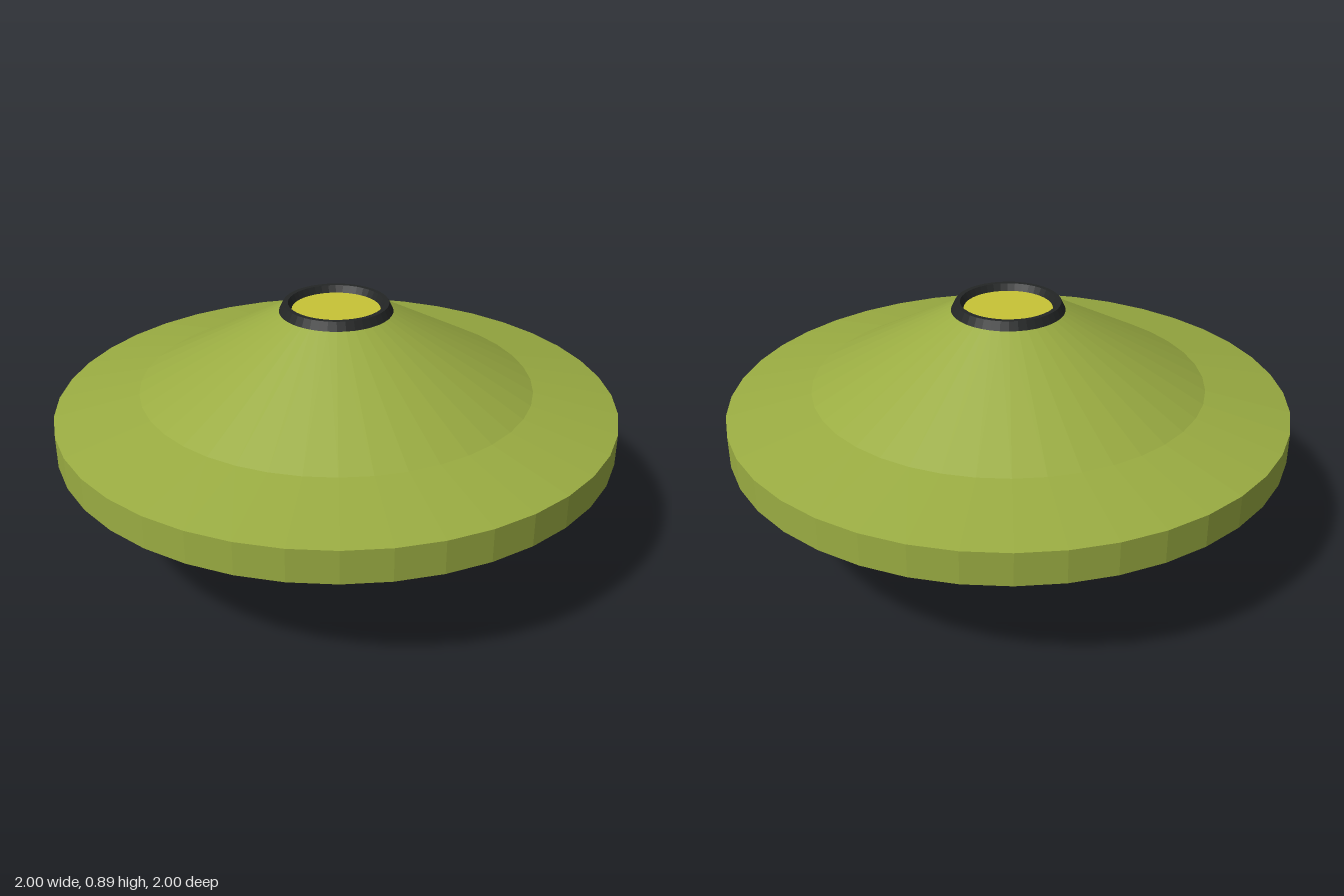
import * as THREE from 'three';

const SIDES = 40;

export function createModel() {
  const group = new THREE.Group();

  // Revolve a [radius, height] profile (listed bottom to top on the outside)
  function turned(name, profile, color) {
    const points = profile.map(([r, y]) => new THREE.Vector2(r, y));
    const material = new THREE.MeshStandardMaterial({
      color, flatShading: true, side: THREE.DoubleSide,
    });
    const mesh = new THREE.Mesh(new THREE.LatheGeometry(points, SIDES), material);
    mesh.name = name;
    group.add(mesh);
  }

  // Closed disc or truncated cone
  function disc(name, bottomRadius, topRadius, y0, y1, color) {
    const geometry = new THREE.CylinderGeometry(topRadius, bottomRadius, y1 - y0, SIDES);
    const mesh = new THREE.Mesh(geometry, new THREE.MeshStandardMaterial({ color, flatShading: true }));
    mesh.position.y = (y0 + y1) / 2;
    mesh.name = name;
    group.add(mesh);
  }

  const green = 0x9aac42, yellow = 0xc8c436, slate = 0x465257;
  const grey = 0x696468, dark = 0x4a474a, black = 0x242626;

  // Saucer hull: rim band, shallow brim and steep dome
  turned('upperHull', [[1, 0.41], [1, 0.525], [0.7, 0.59], [0.19, 0.865]], green);
  turned('lowerHull', [[0.41, 0.275], [1, 0.41]], slate);

  // Hatch on top: bevelled collar around a recessed window
  turned('topCollar', [[0.155, 0.86], [0.2, 0.86], [0.185, 0.89], [0.168, 0.89], [0.155, 0.865]], black);
  disc('topWindow', 0.16, 0.16, 0.85, 0.866, yellow);

  // Stepped rings under the hull
  disc('upperRing', 0.415, 0.415, 0.234, 0.277, yellow);
  disc('middleRing', 0.35, 0.35, 0.188, 0.234, grey);
  disc('lowerRing', 0.287, 0.287, 0.138, 0.188, yellow);

  // Tapered nozzle
  disc('nozzle', 0.09, 0.225, 0, 0.138, dark);

  return group;
}
